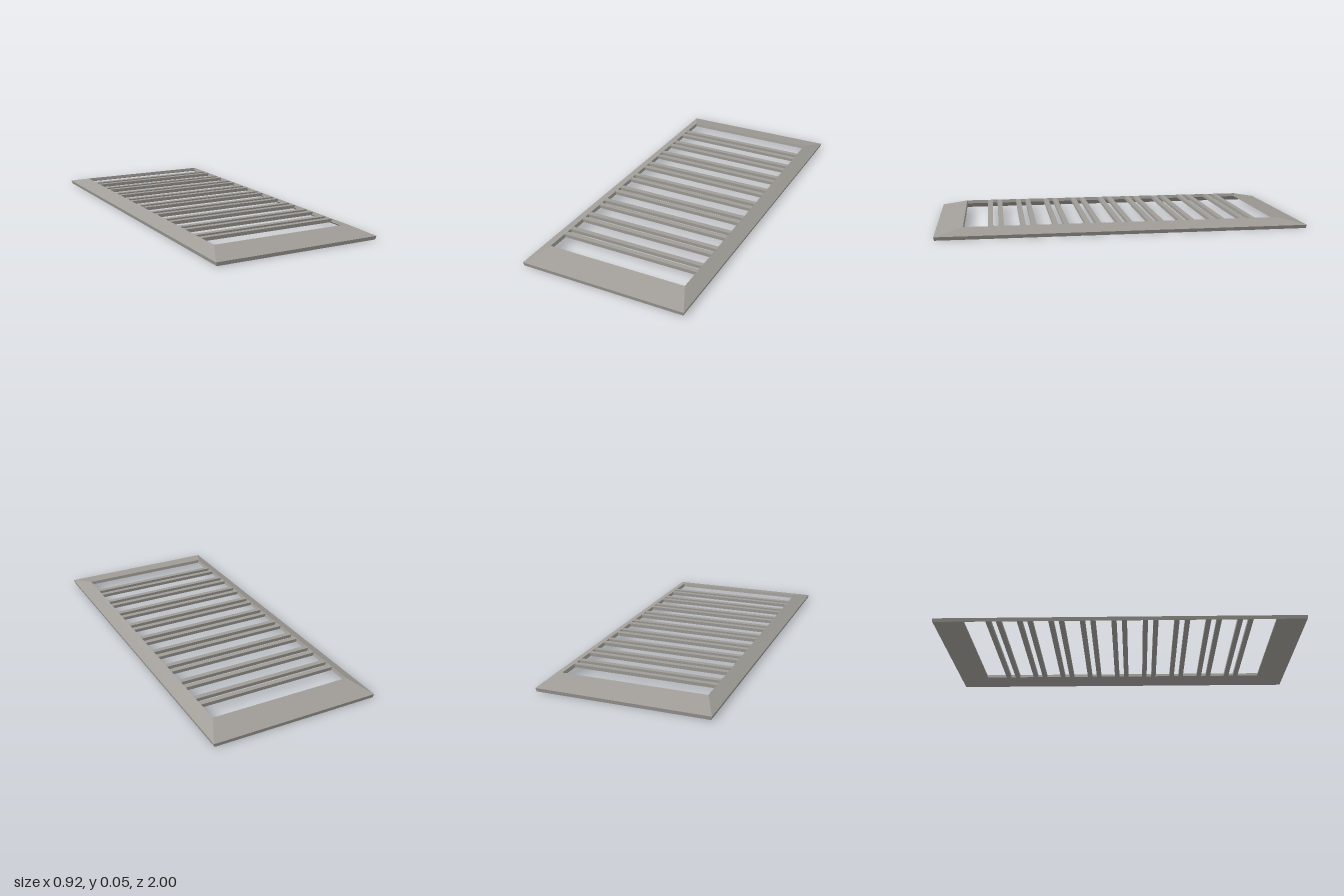
import * as THREE from 'three';

export function createModel() {
  const group = new THREE.Group();
  group.name = 'ventGrille';
  const metal = new THREE.MeshStandardMaterial({ color: 0xa09d98 });
  metal.name = 'warm grey metal';

  // Rectangular rings of the hollow sloped frame: half width, height, half length
  const rings = [
    [0.39, 0.053, 0.852],  // top inner lip
    [0.46, 0.019, 1.0],    // outer edge
    [0.455, 0.0, 0.997],   // bottom of outer edge
    [0.385, 0.035, 0.848], // underside of inner lip
  ];
  const corners = [[1, 1], [1, -1], [-1, -1], [-1, 1]];
  const point = (r, c) => [r[0] * c[0], r[1], r[2] * c[1]];
  const positions = [];
  rings.forEach((a, i) => {
    const b = rings[(i + 1) % rings.length];
    corners.forEach((c, k) => {
      const d = corners[(k + 1) % 4];
      const [p, q, r, s] = [point(a, c), point(b, c), point(b, d), point(a, d)];
      positions.push(...p, ...q, ...r, ...p, ...r, ...s);
    });
  });
  const frameGeometry = new THREE.BufferGeometry();
  frameGeometry.setAttribute('position', new THREE.Float32BufferAttribute(positions, 3));
  frameGeometry.computeVertexNormals();
  const frame = new THREE.Mesh(frameGeometry, metal);
  frame.name = 'slopedFrame';
  group.add(frame);

  // Nine pairs of thin cross slats, level with the inner lip
  const slatGeometry = new THREE.BoxGeometry(0.782, 0.018, 0.028);
  const slats = new THREE.Group();
  slats.name = 'slats';
  for (let i = 0; i < 9; i++) {
    for (const side of [-1, 1]) {
      const slat = new THREE.Mesh(slatGeometry, metal);
      slat.name = 'slat';
      slat.position.set(0, 0.0435, -0.002 + (i - 4) * 0.171 + side * 0.0285);
      slats.add(slat);
    }
  }
  group.add(slats);
  return group;
}
